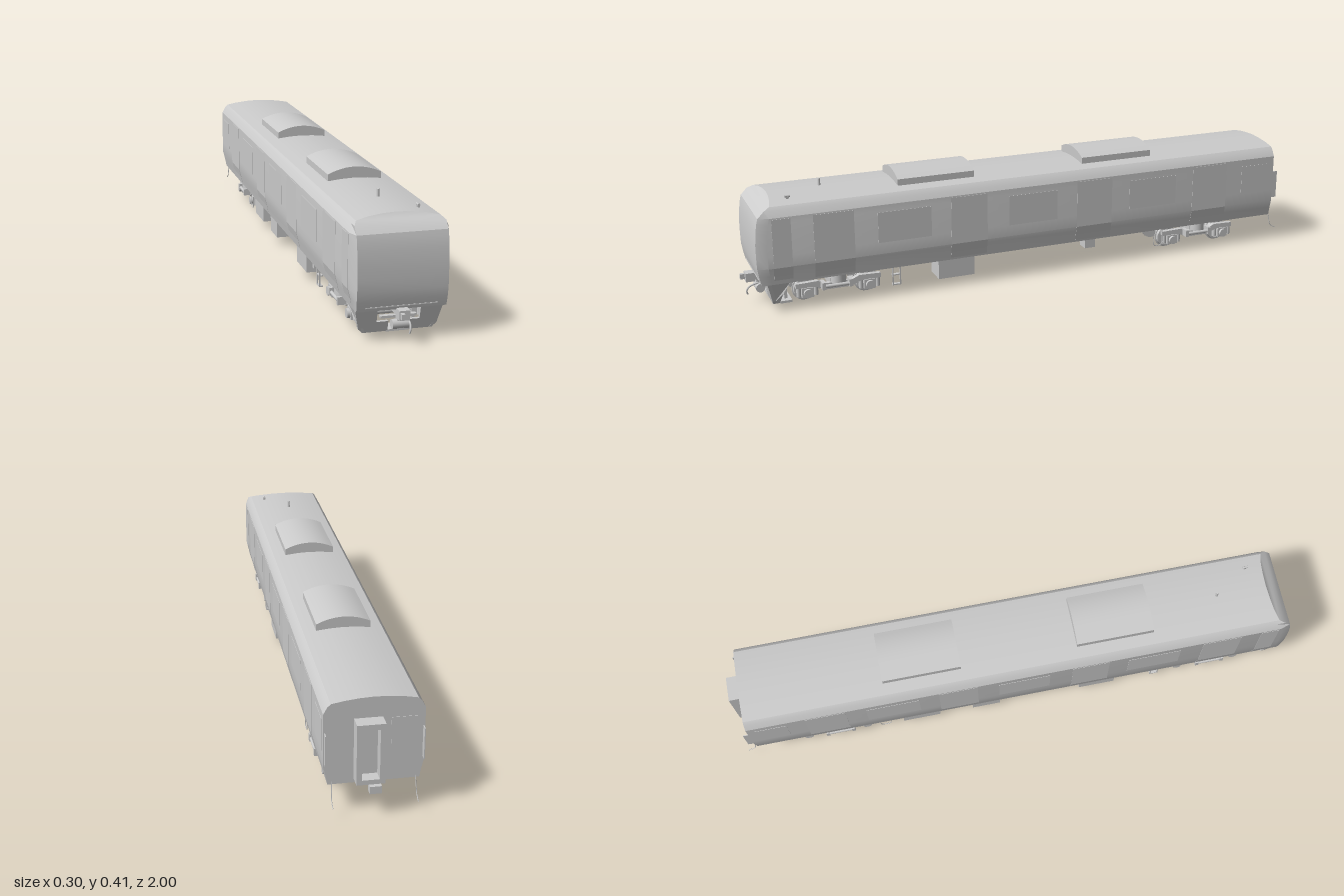
import * as THREE from 'three';
import { toCreasedNormals } from 'three/addons/utils/BufferGeometryUtils.js';

const mat = new THREE.MeshStandardMaterial({ color: 0xcccccc, side: THREE.DoubleSide });

// Half cross-section of the car body: x, y, and z of the nose at that height
const PROFILE = [
  [0.137, 0.1, 0.955], [0.1425, 0.13, 0.962], [0.15, 0.16, 0.967], [0.15, 0.2, 0.968],
  [0.15, 0.24, 0.968], [0.15, 0.28, 0.965], [0.15, 0.31, 0.961], [0.15, 0.33, 0.956],
  [0.138, 0.352, 0.935], [0.128, 0.362, 0.915], [0.09, 0.369, 0.905], [0.045, 0.374, 0.9], [0, 0.376, 0.898],
];
const BACK = -0.955;

function add(parent, name, geo, x = 0, y = 0, z = 0) {
  const m = new THREE.Mesh(geo, mat);
  m.name = name;
  m.position.set(x, y, z);
  parent.add(m);
  return m;
}
// Box given by its limits
function box(parent, name, x0, x1, y0, y1, z0, z1) {
  return add(parent, name, new THREE.BoxGeometry(Math.abs(x1 - x0), y1 - y0, Math.abs(z1 - z0)),
    (x0 + x1) / 2, (y0 + y1) / 2, (z0 + z1) / 2);
}
function cyl(parent, name, r, len, axis, x, y, z, seg = 20) {
  const g = new THREE.CylinderGeometry(r, r, len, seg);
  if (axis === 'x') g.rotateZ(Math.PI / 2);
  if (axis === 'z') g.rotateX(Math.PI / 2);
  return add(parent, name, g, x, y, z);
}
function extrude(points, depth) {
  const s = new THREE.Shape(points.map(p => new THREE.Vector2(p[0], p[1])));
  return new THREE.ExtrudeGeometry(s, { depth, bevelEnabled: false });
}
// Plate drawn in (z, y), centred on x = 0
function sidePlate(points, thick) {
  return extrude(points.map(([z, y]) => [-z, y]), thick).translate(0, 0, -thick / 2).rotateY(Math.PI / 2);
}
function tube(parent, name, pts, r) {
  const c = new THREE.CatmullRomCurve3(pts.map(p => new THREE.Vector3(...p)));
  return add(parent, name, new THREE.TubeGeometry(c, 16, r, 6), 0, 0, 0);
}

// Body shell lofted from rings, with chamfered nose corners and a curved front
function bodyGeometry() {
  const half = PROFILE.length;
  const outline = [...PROFILE, ...PROFILE.slice(0, -1).reverse().map(([x, y, z]) => [-x, y, z])];
  const n = outline.length;
  const rings = [
    outline.map(([x, y]) => [x, y, BACK]),
    outline.map(([x, y, z]) => [x, y, z - 0.035]),
    outline.map(([x, y, z]) => [Math.sign(x) * Math.min(Math.abs(x), 0.138), y, z]),
  ];
  const pos = [];
  const quad = (a, b, c, d) => pos.push(...a, ...b, ...c, ...a, ...c, ...d);
  for (let r = 0; r < 2; r++)
    for (let i = 0; i < n; i++) {
      const j = (i + 1) % n;
      quad(rings[r][i], rings[r][j], rings[r + 1][j], rings[r + 1][i]);
    }
  for (let i = 0; i < half - 1; i++) {
    const m = n - 1 - i;
    const f = rings[2], b = rings[0];
    if (i === half - 2) {
      pos.push(...f[i], ...f[i + 1], ...f[m], ...b[i], ...b[m], ...b[i + 1]);
    } else {
      quad(f[i], f[i + 1], f[m - 1], f[m]);
      quad(b[m], b[m - 1], b[i + 1], b[i]);
    }
  }
  const g = new THREE.BufferGeometry();
  g.setAttribute('position', new THREE.Float32BufferAttribute(pos, 3));
  return toCreasedNormals(g, 0.4);
}

// Thin panel that follows the body side
function sideX(y) {
  for (let i = 0; i < PROFILE.length - 1; i++) {
    const [x0, y0] = PROFILE[i], [x1, y1] = PROFILE[i + 1];
    if (y <= y1) return x0 + (x1 - x0) * (y - y0) / (y1 - y0);
  }
  return 0;
}
function sidePanel(parent, name, s, z0, z1, y0, y1) {
  const ys = [y0, ...PROFILE.map(p => p[1]).filter(y => y > y0 && y < y1), y1];
  const outer = ys.map(y => [s * (sideX(y) + 0.0012), y]);
  const inner = ys.map(y => [s * (sideX(y) - 0.004), y]).reverse();
  add(parent, name, extrude([...outer, ...inner], z1 - z0), 0, 0, z0);
}

function roofUnit() {
  const pts = [[0.088, 0.36], [0.088, 0.391]];
  for (let i = 1; i < 12; i++) {
    const t = 1 - i / 6;
    pts.push([0.088 * t, 0.412 - 0.021 * t * t]);
  }
  pts.push([-0.088, 0.391], [-0.088, 0.36]);
  return toCreasedNormals(extrude(pts, 0.27).translate(0, 0, -0.135), 0.4);
}

function bogie() {
  const g = new THREE.Group();
  g.name = 'bogie';
  // Wheel profile with an inner flange, turned around the axle
  const wheel = new THREE.LatheGeometry([[0, -0.007], [0.042, -0.007], [0.042, -0.003], [0.038, -0.002],
    [0.037, 0.008], [0.03, 0.008], [0.028, 0.004], [0.014, 0.004], [0.012, 0.008], [0, 0.008]]
    .map(p => new THREE.Vector2(...p)), 28);
  const frame = sidePlate([[-0.145, 0.062], [-0.145, 0.078], [-0.07, 0.08], [-0.045, 0.068], [0.045, 0.068],
    [0.07, 0.08], [0.145, 0.078], [0.145, 0.062], [0.075, 0.06], [0.045, 0.046], [-0.045, 0.046], [-0.075, 0.06]], 0.016);
  for (const z of [-0.106, 0.106]) {
    cyl(g, 'axle', 0.009, 0.18, 'x', 0, 0.042, z, 14);
    for (const s of [1, -1]) {
      add(g, 'wheel', toCreasedNormals(wheel.clone().rotateZ(-s * Math.PI / 2), 0.5), s * 0.058, 0.042, z);
      box(g, 'axleBox', s * 0.088, s * 0.112, 0.028, 0.062, z - 0.02, z + 0.02);
      cyl(g, 'axleBoxCover', 0.015, 0.01, 'x', s * 0.116, 0.044, z, 16);
      for (const d of [-0.029, 0.029]) cyl(g, 'axleSpring', 0.008, 0.034, 'y', s * 0.1, 0.048, z + d, 12);
      box(g, 'brakeShoe', s * 0.05, s * 0.064, 0.035, 0.06, z - Math.sign(z) * 0.044, z - Math.sign(z) * 0.052);
    }
  }
  for (const s of [1, -1]) {
    add(g, 'sideFrame', frame, s * 0.1, 0, 0);
    cyl(g, 'airSpring', 0.026, 0.03, 'y', s * 0.102, 0.083, 0, 20);
    cyl(g, 'damper', 0.006, 0.09, 'z', s * 0.128, 0.065, 0.01, 12);
    for (const z of [-0.036, 0.056]) box(g, 'damperBracket', s * 0.1, s * 0.135, 0.055, 0.08, z - 0.006, z + 0.006);
  }
  box(g, 'bolster', -0.1, 0.1, 0.052, 0.082, -0.028, 0.028);
  cyl(g, 'centrePivot', 0.022, 0.03, 'y', 0, 0.088, 0);
  return g;
}

export function createModel() {
  const car = new THREE.Group();
  car.name = 'railCar';
  add(car, 'body', bodyGeometry());
  box(car, 'frontSill', -0.11, 0.11, 0.11, 0.113, 0.945, 0.9595);

  // Doors and windows on both sides
  const doors = [[0.645, 0.78], [0.18, 0.31], [-0.29, -0.155], [-0.755, -0.615]];
  const windows = [[0.38, 0.565], [-0.08, 0.1], [-0.545, -0.36], [-0.93, -0.82]];
  for (const s of [1, -1]) {
    sidePanel(car, 'cabDoor', s, 0.853, 0.915, 0.115, 0.325);
    for (const [a, b] of doors) sidePanel(car, 'door', s, a, b, 0.108, 0.325);
    for (const [a, b] of windows) sidePanel(car, 'window', s, a, b, 0.2, 0.305);
  }

  // Roof equipment
  for (const z of [0.34, -0.335]) add(car, 'roofUnit', roofUnit(), 0, 0, z);
  cyl(car, 'antenna', 0.0045, 0.028, 'y', 0, 0.386, 0.72, 12);
  cyl(car, 'horn', 0.004, 0.018, 'z', 0.083, 0.378, 0.845, 12);
  box(car, 'hornFoot', 0.079, 0.087, 0.366, 0.376, 0.84, 0.85);

  // Front skirt with a notch for the coupler, and its swept side wings
  const right = [[0.03, 0.022], [0.105, 0.022], [0.12, 0.035], [0.135, 0.1], [0.066, 0.1], [0.066, 0.055], [0.03, 0.055]];
  for (const s of [1, -1]) {
    const front = extrude(right.map(([x, y]) => [s * x, y]), 0.012);
    const wing = sidePlate([[0.935, 0.1], [0.862, 0.1], [0.885, 0.06], [0.895, 0.022], [0.918, 0.022]], 0.008);
    for (const g of [front, wing]) {
      const p = g.attributes.position;
      for (let i = 0; i < p.count; i++) {
        const drop = 0.1 - p.getY(i);
        if (g === front) p.setZ(i, p.getZ(i) - drop * 0.25);
        else p.setX(i, p.getX(i) - s * Math.max(drop * 0.23, drop - 0.052));
      }
      g.computeVertexNormals();
    }
    add(car, 'skirtFront', front, 0, 0, 0.925);
    add(car, 'skirtWing', wing, s * 0.13, 0, 0);
  }
  box(car, 'skirtTie', -0.035, 0.035, 0.02, 0.026, 0.905, 0.918);
  box(car, 'trackGuard', -0.09, 0.09, 0.012, 0.02, 0.85, 0.89);
  for (const s of [1, -1]) box(car, 'guardHanger', s * 0.06, s * 0.07, 0.018, 0.1, 0.862, 0.872);

  // Front coupler
  box(car, 'couplerBar', -0.012, 0.012, 0.078, 0.098, 0.82, 0.965);
  box(car, 'couplerHead', -0.016, 0.016, 0.074, 0.104, 0.955, 0.985);
  box(car, 'couplerJaw', -0.014, -0.002, 0.08, 0.098, 0.98, 1.0);
  cyl(car, 'couplerDrum', 0.015, 0.05, 'x', 0, 0.05, 0.94, 18);
  box(car, 'couplerStem', -0.01, 0.01, 0.035, 0.08, 0.93, 0.95);
  box(car, 'couplerBracket', -0.055, 0.055, 0.066, 0.073, 0.915, 0.93);
  tube(car, 'airHose', [[0.02, 0.07, 0.945], [0.02, 0.06, 0.975], [0.018, 0.045, 0.985], [0.016, 0.032, 0.982]], 0.003);

  for (const z of [0.695, -0.668]) {
    const b = bogie();
    b.position.z = z;
    car.add(b);
  }

  // Underfloor equipment
  box(car, 'equipmentBox', 0.045, 0.125, 0.03, 0.101, 0.22, 0.35);
  box(car, 'equipmentBox', -0.125, -0.045, 0.03, 0.101, 0.22, 0.35);
  box(car, 'equipmentBox', -0.125, -0.05, 0.03, 0.101, -0.175, -0.075);
  box(car, 'equipmentBox', -0.125, -0.04, 0.03, 0.101, -0.43, -0.295);
  box(car, 'smallBox', 0.085, 0.125, 0.065, 0.101, -0.24, -0.2);
  box(car, 'smallBox', -0.12, -0.1, 0.065, 0.101, 0.405, 0.425);
  cyl(car, 'airTank', 0.015, 0.075, 'z', 0.02, 0.083, -0.3, 18);
  for (const s of [1, -1]) {
    for (const z of [0.487, 0.513]) box(car, 'stepRail', s * 0.123, s * 0.127, 0.035, 0.101, z - 0.002, z + 0.002);
    for (const y of [0.035, 0.07]) box(car, 'step', s * 0.115, s * 0.127, y - 0.002, y + 0.002, 0.485, 0.515);
    tube(car, 'bracket', [[s * 0.125, 0.1, -0.51], [s * 0.125, 0.04, -0.51], [s * 0.125, 0.038, -0.48], [s * 0.125, 0.075, -0.475]], 0.0015);
  }

  // Rear end: open gangway frame, end window, guard plates, coupler and hanging cables
  const gangway = new THREE.Group();
  gangway.name = 'gangway';
  box(gangway, 'gangwaySide', -0.025, -0.009, 0.115, 0.31, BACK, -1);
  box(gangway, 'gangwaySide', 0.044, 0.06, 0.115, 0.31, BACK, -1);
  box(gangway, 'gangwayTop', -0.009, 0.044, 0.292, 0.31, BACK, -1);
  box(gangway, 'gangwayFloor', -0.009, 0.044, 0.115, 0.13, BACK, -1);
  box(gangway, 'gangwayDoor', -0.009, 0.044, 0.13, 0.292, BACK, -0.962);
  car.add(gangway);
  box(car, 'endWindow', -0.135, -0.05, 0.2, 0.305, BACK, -0.9565);
  for (const s of [1, -1]) {
    box(car, 'guardPlate', s * 0.144, s * 0.147, 0.17, 0.27, -0.95, -0.975);
    tube(car, 'cable', [[s * 0.125, 0.11, -0.957], [s * 0.126, 0.08, -0.965], [s * 0.127, 0.055, -0.972], [s * 0.127, 0.04, -0.995]], 0.0014);
  }
  box(car, 'rearCouplerBar', -0.012, 0.012, 0.08, 0.096, -0.78, -0.97);
  box(car, 'rearCouplerHead', -0.018, 0.018, 0.076, 0.1, -0.965, -0.99);
  return car;
}
